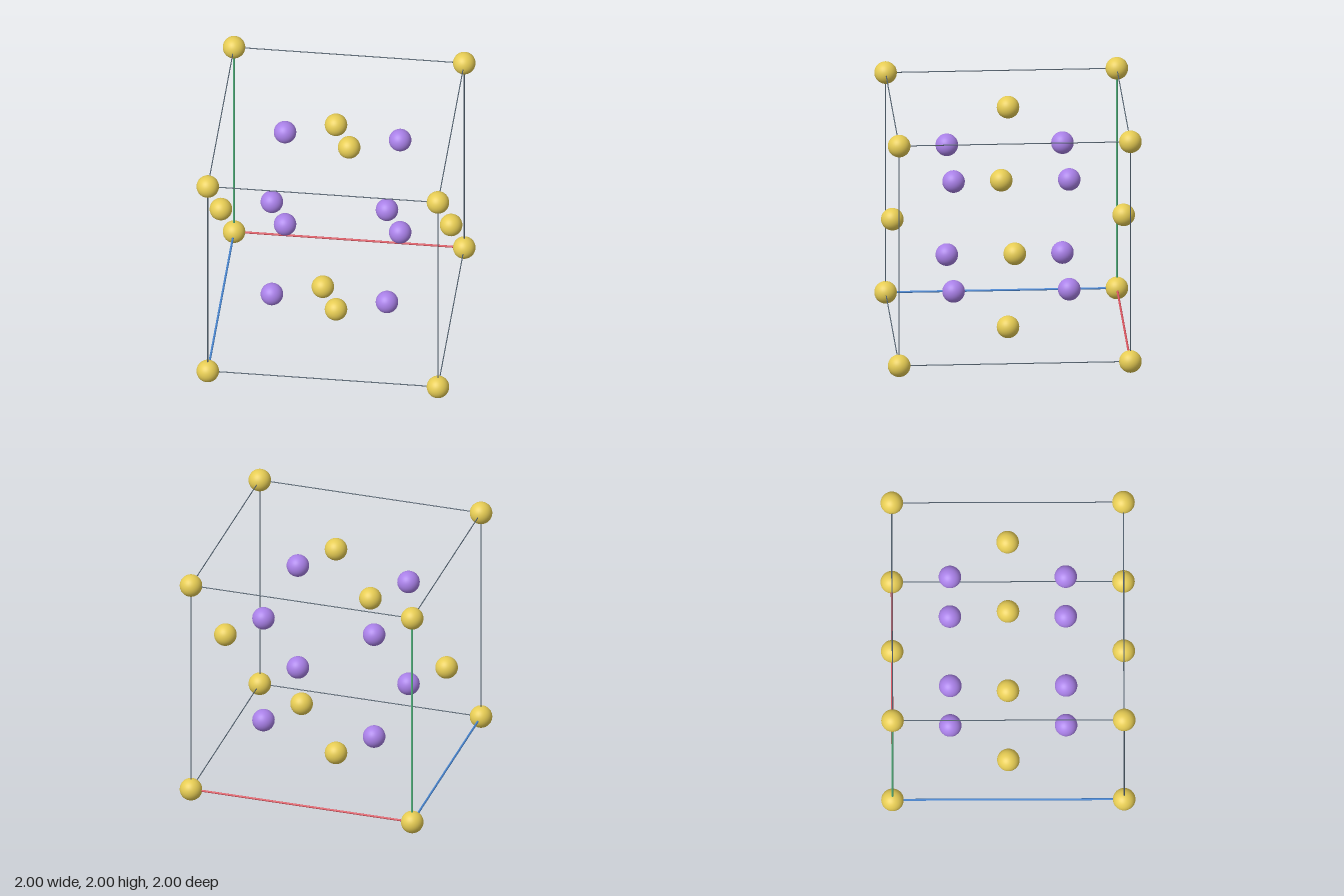
import * as THREE from 'three';

const HALF = 0.911;   // half the edge of the cell
const RADIUS = 0.089; // atom radius

export function createModel() {
  const group = new THREE.Group();
  const material = (name, color) => {
    const m = new THREE.MeshStandardMaterial({ color });
    m.name = name;
    return m;
  };
  const gold = material('gold', 0xe6cc54);
  const purple = material('purple', 0xab82ea);
  const frame = material('slate frame', 0x536270);
  const axisMaterials = [
    material('red', 0xdc5560),
    material('green', 0x52b07c),
    material('blue', 0x4a88d4),
  ];

  const add = (name, geometry, mat, position) => {
    const mesh = new THREE.Mesh(geometry, mat);
    mesh.name = name;
    mesh.position.set(...position);
    group.add(mesh);
    return mesh;
  };

  const ball = new THREE.SphereGeometry(RADIUS, 32, 20);
  const signs = [-1, 1];

  // Corner atoms, and the inner atoms half way towards them
  for (const x of signs) for (const y of signs) for (const z of signs) {
    const corner = [x, y, z].map((s) => s * HALF);
    add('cornerAtom', ball, gold, corner);
    add('innerAtom', ball, purple, corner.map((v) => v / 2));
  }

  // Atoms in the middle of the six faces
  for (let axis = 0; axis < 3; axis++) for (const s of signs) {
    const p = [0, 0, 0];
    p[axis] = s * HALF;
    add('faceAtom', ball, gold, p);
  }

  // Twelve edges; the three meeting at one back bottom corner are thicker coloured axes
  const thin = new THREE.CylinderGeometry(0.0042, 0.0042, 2 * HALF, 8);
  const thick = new THREE.CylinderGeometry(0.0085, 0.0085, 2 * HALF, 8);
  const axisNames = ['xAxis', 'yAxis', 'zAxis'];
  for (let axis = 0; axis < 3; axis++) for (const a of signs) for (const b of signs) {
    const p = [0, 0, 0];
    p[(axis + 1) % 3] = a * HALF;
    p[(axis + 2) % 3] = b * HALF;
    const isAxis = a < 0 && b < 0;
    const rod = add(isAxis ? axisNames[axis] : 'cellEdge', isAxis ? thick : thin,
      isAxis ? axisMaterials[axis] : frame, p);
    if (axis === 0) rod.rotation.z = -Math.PI / 2;
    if (axis === 2) rod.rotation.x = Math.PI / 2;
  }

  // Stand the cell on the ground
  for (const part of group.children) part.position.y += HALF + RADIUS;
  group.name = 'crystalCell';
  return group;
}
